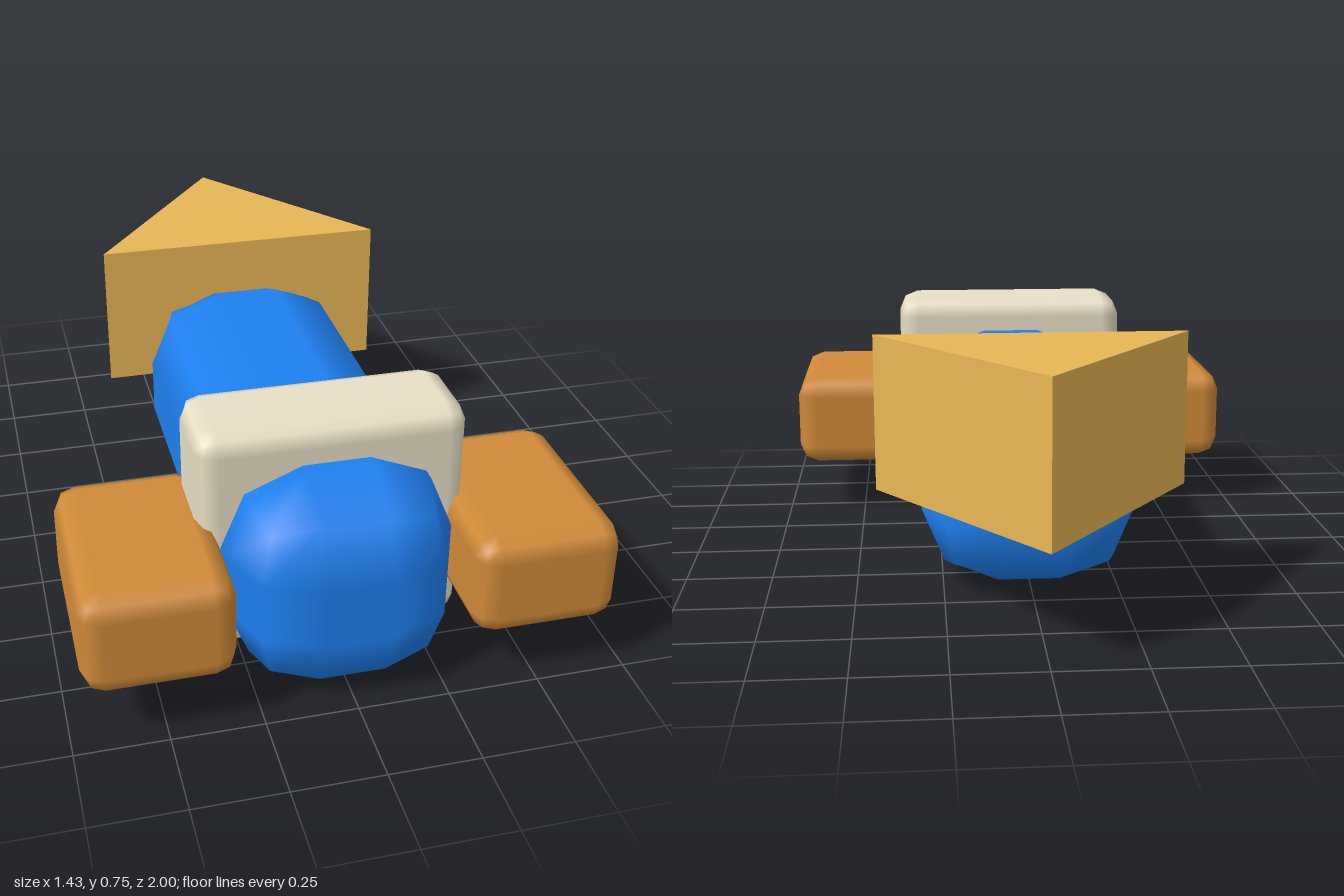
import * as THREE from 'three';
import { RoundedBoxGeometry } from 'three/addons/geometries/RoundedBoxGeometry.js';

const material = (color) => new THREE.MeshStandardMaterial({ color });

// Soft-edged block with a single-step bevel
function block(name, size, radius, position, mat) {
  const mesh = new THREE.Mesh(new RoundedBoxGeometry(...size, 1, radius), mat);
  mesh.name = name;
  mesh.position.set(...position);
  return mesh;
}

export function createModel() {
  const model = new THREE.Group();
  model.name = 'model';
  const blue = material(0x1e80f0);
  const cream = material(0xe8dfc6);
  const orange = material(0xd08a38);
  const gold = material(0xe8b755);

  // Long rounded body and the upright band around it
  model.add(block('body', [0.62, 0.605, 1.54], 0.22, [0, 0.3025, 0.23], blue));
  model.add(block('band', [0.735, 0.66, 0.29], 0.06, [0, 0.38, 0.595], cream));

  // Side blocks, mirrored left and right
  for (const side of [1, -1]) {
    const name = side > 0 ? 'leftSideBlock' : 'rightSideBlock';
    model.add(block(name, [0.4, 0.29, 0.585], 0.06, [side * 0.513, 0.305, 0.7075], orange));
  }

  // Triangular tail wedge pointing backward
  const triangle = new THREE.Shape([
    new THREE.Vector2(-0.437, 0.4),
    new THREE.Vector2(0.437, 0.4),
    new THREE.Vector2(0, 1),
  ]);
  const wedge = new THREE.ExtrudeGeometry(triangle, { depth: 0.44, bevelEnabled: false });
  wedge.rotateX(-Math.PI / 2);
  const tail = new THREE.Mesh(wedge, gold);
  tail.name = 'tail';
  tail.position.y = 0.305;
  model.add(tail);

  return model;
}
